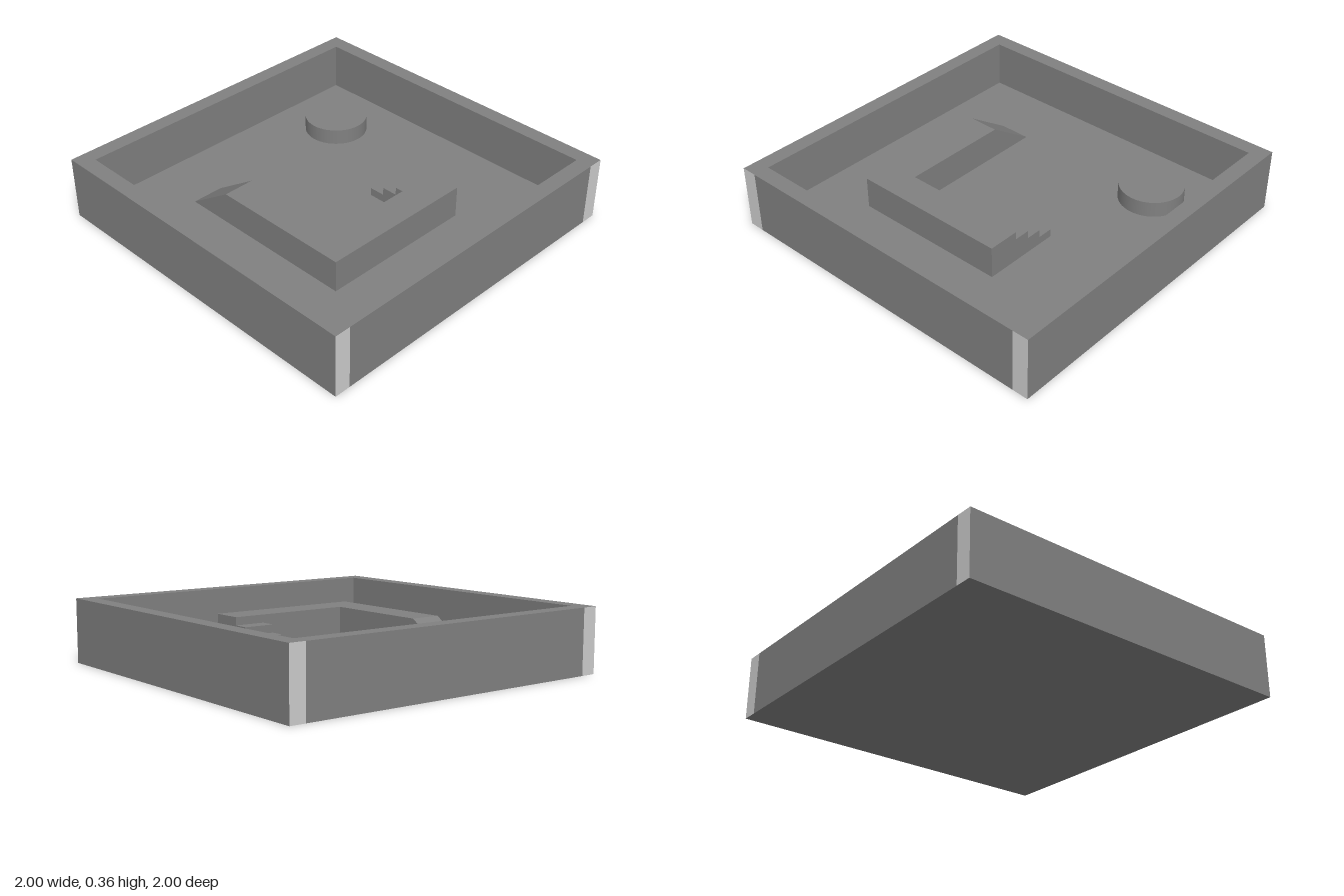
import * as THREE from 'three';

export function createModel() {
  const model = new THREE.Group();
  model.name = 'walledCourt';
  const U = 1 / 11; // base unit: the court is 22 units wide
  const grey = new THREE.MeshStandardMaterial({ color: 0x808080 });
  grey.name = 'stone grey';
  const pale = new THREE.MeshStandardMaterial({ color: 0xcccccc });
  pale.name = 'pale grey';

  const add = (name, geometry, material = grey) => {
    const mesh = new THREE.Mesh(geometry, material);
    mesh.name = name;
    model.add(mesh);
    return mesh;
  };
  // Box given by its two opposite corners, in units
  const box = (name, [x0, y0, z0], [x1, y1, z1], material) =>
    add(name, new THREE.BoxGeometry((x1 - x0) * U, (y1 - y0) * U, (z1 - z0) * U), material)
      .position.set((x0 + x1) / 2 * U, (y0 + y1) / 2 * U, (z0 + z1) / 2 * U);

  // Floor slab
  box('floor', [-10, 0, -10], [10, 1, 10]);

  // Side walls run the full depth and show pale ends; end walls fit between them
  const paleEnds = [grey, grey, grey, grey, pale, pale];
  box('leftWall', [10, 0, -11], [11, 4, 11], paleEnds);
  box('rightWall', [-11, 0, -11], [-10, 4, 11], paleEnds);
  box('frontWall', [-10, 0, 10], [10, 4, 11]);
  box('backWall', [-10, 0, -11], [10, 4, -10]);

  // L-shaped raised walkway
  box('walkwayLong', [-6, 1, -3], [-4, 3, 4]);
  box('walkwayCross', [-6, 1, 4], [4, 3, 6]);

  // Ramp: triangular side profile extruded across its width
  const profile = new THREE.Shape([
    new THREE.Vector2(3 * U, U), new THREE.Vector2(6 * U, U), new THREE.Vector2(3 * U, 3 * U),
  ]);
  const ramp = new THREE.ExtrudeGeometry(profile, { depth: 2 * U, bevelEnabled: false });
  ramp.rotateY(Math.PI / 2); // profile x becomes -z, depth becomes +x
  ramp.translate(-6 * U, 0, 0);
  add('ramp', ramp);

  // Three steps climbing to the walkway
  for (let i = 0; i < 3; i++) {
    box('step' + (i + 1), [2, 1, 1 + i], [4, 1.5 + i * 0.5, 2 + i]);
  }

  // Low round platform
  add('roundPlatform', new THREE.CylinderGeometry(2 * U, 2 * U, U, 48))
    .position.set(6 * U, 1.5 * U, -6 * U);

  return model;
}
